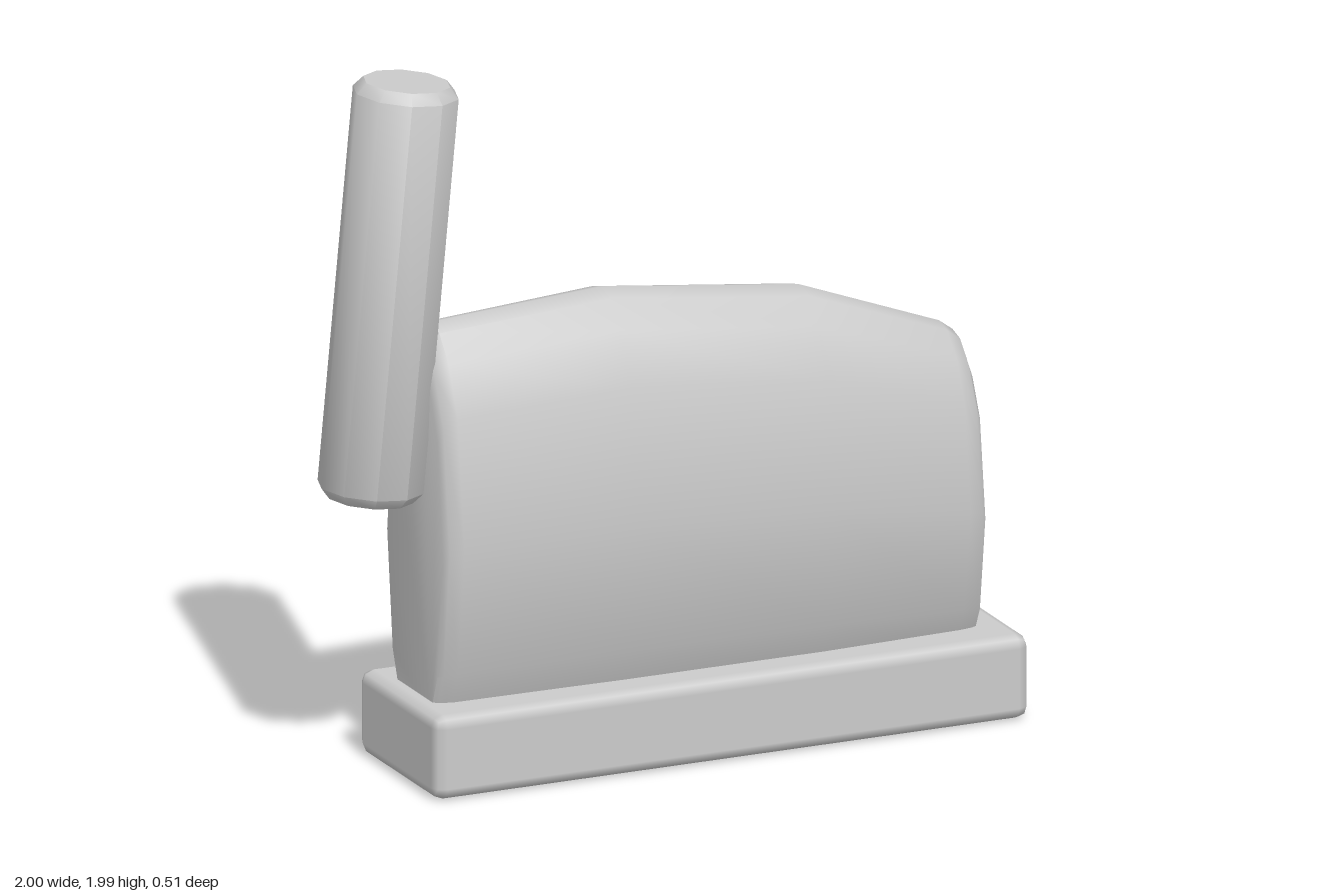
import * as THREE from 'three';
import { toCreasedNormals } from 'three/addons/utils/BufferGeometryUtils.js';
import { RoundedBoxGeometry } from 'three/addons/geometries/RoundedBoxGeometry.js';

const material = new THREE.MeshStandardMaterial({ color: 0xcccccc });
const BODY_BOTTOM = 0.2;

function addPart(group, name, geometry) {
  const mesh = new THREE.Mesh(geometry, material);
  mesh.name = name;
  group.add(mesh);
  return mesh;
}

// Half cross-section of the body: [half width, height fraction]
const HALF_SECTION = [
  [0.13, 0], [0.19, 0.12], [0.237, 0.45], [0.19, 0.79], [0.125, 0.92], [0.06, 0.985],
];

// Stations along the body: [x, top height, width scale]
const STATIONS = [
  [-0.727, 1.2, 0.76], [-0.715, 1.245, 0.84], [-0.68, 1.285, 0.92], [-0.17, 1.318, 1],
  [0.42, 1.245, 1], [0.84, 1.085, 0.86], [0.88, 1.055, 0.81], [0.896, 1.01, 0.75],
];

// Loft the cross-section through every station and close both ends
function bodyGeometry() {
  const ring = [
    ...HALF_SECTION, [0, 1],
    ...HALF_SECTION.map(([z, t]) => [-z, t]).reverse(),
  ];
  const n = ring.length;
  const positions = [];
  const indices = [];
  for (const [x, top, width] of STATIONS) {
    for (const [z, t] of ring) {
      positions.push(x, BODY_BOTTOM + t * (top - BODY_BOTTOM), z * width);
    }
  }
  for (let s = 0; s < STATIONS.length - 1; s++) {
    for (let i = 0; i < n; i++) {
      const a = s * n + i;
      const b = s * n + (i + 1) % n;
      indices.push(a, a + n, b, b, a + n, b + n);
    }
  }
  const last = (STATIONS.length - 1) * n;
  for (let i = 1; i < n - 1; i++) {
    indices.push(0, i, i + 1);
    indices.push(last, last + i + 1, last + i);
  }
  const geometry = new THREE.BufferGeometry();
  geometry.setAttribute('position', new THREE.Float32BufferAttribute(positions, 3));
  geometry.setIndex(indices);
  return toCreasedNormals(geometry, 0.75);
}

// Ten-sided post with chamfered ends, centred on its own middle
function postGeometry(radius, length) {
  const half = length / 2;
  const profile = [
    [0, -half], [radius * 0.82, -half], [radius, -half + 0.03],
    [radius, half - 0.03], [radius * 0.82, half], [0, half],
  ].map(([r, y]) => new THREE.Vector2(r, y));
  const geometry = new THREE.LatheGeometry(profile, 10, Math.PI / 10);
  return toCreasedNormals(geometry, 0.7);
}

export function createModel() {
  const model = new THREE.Group();
  model.name = 'model';

  // Slab base
  const base = addPart(model, 'base', new RoundedBoxGeometry(1.78, 0.24, 0.51, 1, 0.035));
  base.position.set(0.108, 0.12, 0);

  // Bulging body with a sloping top
  addPart(model, 'body', bodyGeometry());

  // Leaning post at the end
  const from = new THREE.Vector3(-0.863, 0.81, 0);
  const to = new THREE.Vector3(-0.752, 1.98, 0);
  const post = addPart(model, 'post', postGeometry(0.147, from.distanceTo(to)));
  post.position.copy(from).lerp(to, 0.5);
  post.rotation.z = -Math.atan2(to.x - from.x, to.y - from.y);

  return model;
}
